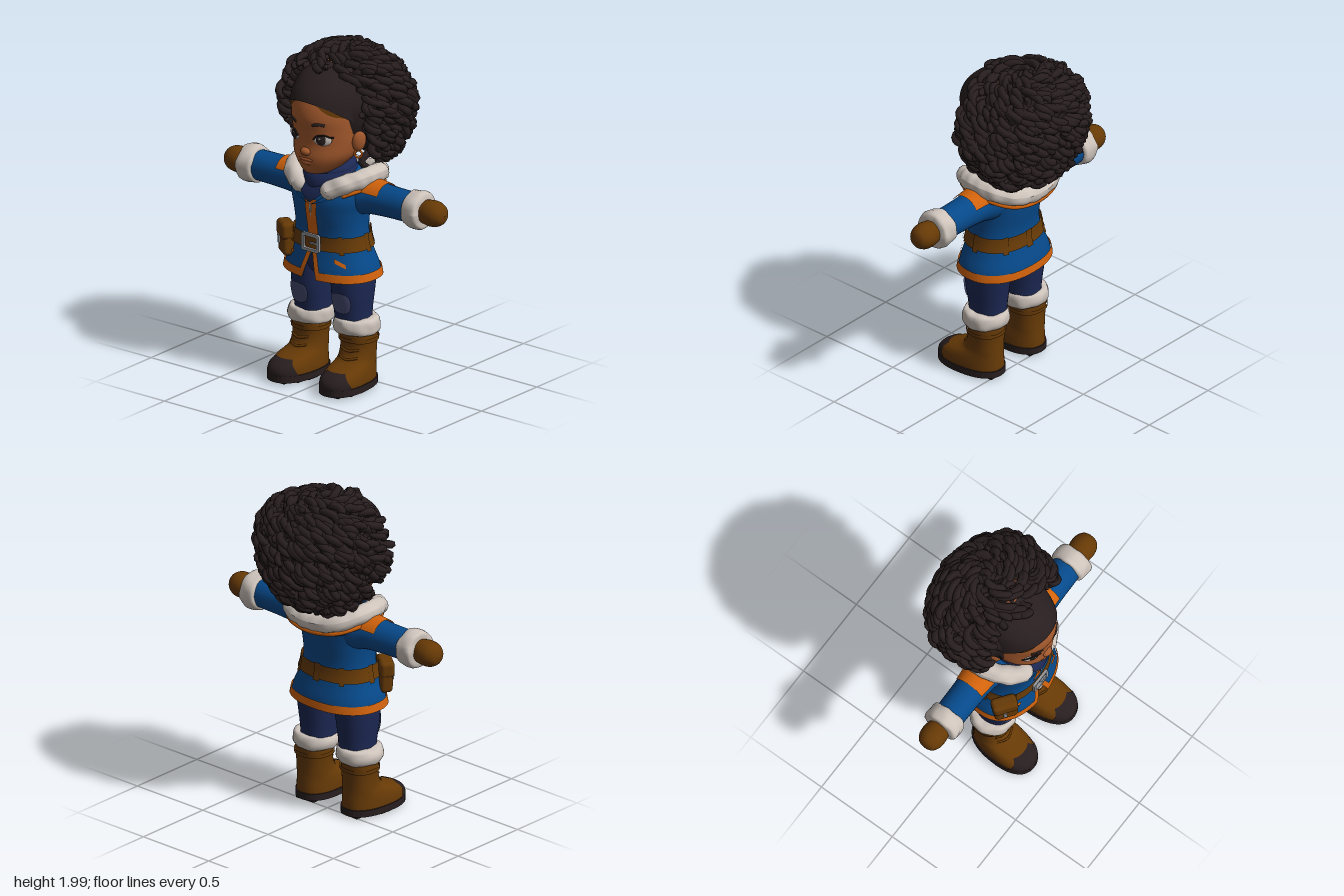
import * as THREE from 'three';
import { mergeGeometries, mergeVertices } from 'three/addons/utils/BufferGeometryUtils.js';
import { RoundedBoxGeometry } from 'three/addons/geometries/RoundedBoxGeometry.js';

const mat = (name, color, side = THREE.FrontSide) => {
  const m = new THREE.MeshStandardMaterial({ color, side });
  m.name = name;
  return m;
};
const D = THREE.DoubleSide, PI = Math.PI;
const skin = mat('skin', 0xa55a2d), hair = mat('darkHair', 0x281e1f, D), blue = mat('coatBlue', 0x06498a, D),
  orange = mat('trimOrange', 0xd0620c, D), navy = mat('navyCloth', 0x1c2853, D), fur = mat('fur', 0xcdc3bb),
  brown = mat('leather', 0x673a06, D), metal = mat('metal', 0x96989c), patchGrey = mat('kneePatch', 0x454a70, D),
  lip = mat('lip', 0x9c532d);
const V = (x, y, z) => new THREE.Vector3(x, y, z);

// Stacked cross-sections: rows of [y, half width, front z, back z], n = squareness
const body = (n, ...rows) => ({ n, rows });
function surf({ n, rows: S }, u, y, off = 0) {
  let i = 0;
  while (i < S.length - 2 && y > S[i + 1][0]) i++;
  const h = S[i + 1][0] - S[i][0], t = THREE.MathUtils.clamp((y - S[i][0]) / h, 0, 1);
  const slope = (j, k) => {
    const a = S[Math.max(j - 1, 0)], b = S[Math.min(j + 1, S.length - 1)];
    return (b[k] - a[k]) / (b[0] - a[0]) * h;
  };
  const [rx, zf, zb] = [1, 2, 3].map(k => {
    const p = S[i][k], q = S[i + 1][k], m = slope(i, k), w = slope(i + 1, k);
    return p + t * (m + t * (3 * (q - p) - 2 * m - w + t * (2 * (p - q) + m + w)));
  });
  const e = v => Math.sign(v) * Math.abs(v) ** (2 / n);
  return V((rx + off) * e(Math.sin(u)), y, (zf + zb) / 2 + ((zf - zb) / 2 + off) * e(Math.cos(u)));
}
// Surface patch; f(a, b) gives [angle, height], angle 0 faces the front
function patch(S, f, off = 0, nu = 12, nv = 8) {
  const pos = [], idx = [];
  for (let j = 0; j <= nv; j++) for (let i = 0; i <= nu; i++) {
    const [u, y] = f(i / nu, j / nv);
    pos.push(...surf(S, u, y, off).toArray());
    if (i < nu && j < nv) {
      const a = j * (nu + 1) + i, d = a + nu + 1;
      idx.push(a, a + 1, d, a + 1, d + 1, d);
    }
  }
  let g = new THREE.BufferGeometry();
  g.setAttribute('position', new THREE.Float32BufferAttribute(pos, 3));
  g.setIndex(idx);
  g = mergeVertices(g, 1e-5);
  g.computeVertexNormals();
  return g;
}
const wrap = (y0, y1) => (a, b) => [a * 2 * PI, y0 + b * (y1 - y0)];
const rect = (u0, u1, y0, y1) => (a, b) => [u0 + a * (u1 - u0), y0 + b * (y1 - y0)];
const tube = (pts, r, n = 24, k = 8) => new THREE.TubeGeometry(new THREE.CatmullRomCurve3(pts), n, r, k);
const lathe = (pts, n = 28) => new THREE.LatheGeometry(new THREE.SplineCurve(pts.map(p => new THREE.Vector2(...p))).getPoints(20), n);
const ball = new THREE.SphereGeometry(1, 20, 14);

// Soft lumps for fur
function lumpy(g, amt = 0.004) {
  const p = g.attributes.position, n = g.attributes.normal;
  for (let i = 0; i < p.count; i++) {
    const x = p.getX(i), y = p.getY(i), z = p.getZ(i);
    const d = amt * (Math.sin(75 * x + 20 * y) + Math.sin(80 * z - 30 * y) + Math.sin(70 * y + 40 * x)) / 2;
    p.setXYZ(i, x + n.getX(i) * d, y + n.getY(i) * d, z + n.getZ(i) * d);
  }
  g.computeVertexNormals();
  return g;
}

const HEAD = body(2, [1.283, 0.03, 0.27, 0.15], [1.295, 0.075, 0.315, 0.1], [1.34, 0.13, 0.34, 0.02], [1.4, 0.178, 0.352, -0.05],
  [1.48, 0.202, 0.346, -0.1], [1.56, 0.21, 0.355, -0.14], [1.64, 0.21, 0.372, -0.16], [1.73, 0.205, 0.355, -0.15],
  [1.8, 0.19, 0.315, -0.13], [1.87, 0.14, 0.23, -0.08], [1.92, 0.02, 0.1, 0]);
const COAT = body(2.25, [0.66, 0.297, 0.312, -0.117], [0.72, 0.283, 0.303, -0.108], [0.8, 0.25, 0.285, -0.085], [0.88, 0.226, 0.272, -0.066],
  [0.95, 0.22, 0.275, -0.065], [1.05, 0.227, 0.292, -0.08], [1.14, 0.245, 0.295, -0.09], [1.22, 0.235, 0.26, -0.09],
  [1.27, 0.18, 0.21, -0.06], [1.31, 0.1, 0.15, 0]);
const LEG = body(2.2, [0.38, 0.1, 0.2, -0.015], [0.45, 0.102, 0.21, -0.02], [0.55, 0.112, 0.228, -0.033], [0.64, 0.118, 0.232, -0.045], [0.75, 0.12, 0.23, -0.055]);
const HIPS = body(2.2, [0.61, 0.02, 0.12, 0.06], [0.635, 0.13, 0.18, -0.01], [0.68, 0.22, 0.22, -0.05], [0.85, 0.21, 0.24, -0.05]);
const BOOT = body(2.3, [0.03, 0.118, 0.388, -0.022], [0.07, 0.119, 0.392, -0.022], [0.105, 0.116, 0.37, -0.02], [0.135, 0.11, 0.315, -0.018],
  [0.165, 0.102, 0.225, -0.016], [0.23, 0.1, 0.185, -0.016], [0.3, 0.104, 0.182, -0.02], [0.35, 0.1, 0.18, -0.02]);
const SCARF = body(2, [1.14, 0.06, 0.27, 0.1], [1.2, 0.125, 0.29, 0], [1.26, 0.15, 0.285, -0.03], [1.31, 0.145, 0.25, -0.03], [1.35, 0.11, 0.2, -0.01]);
const HOOD = body(2, [1.1, 0.19, 0.25, -0.08], [1.16, 0.235, 0.25, -0.14], [1.21, 0.26, 0.25, -0.17], [1.25, 0.25, 0.24, -0.15]);

// Point on the rounded hair volume: theta from the crown, phi around
function hairPoint(th, ph, k) {
  const c = Math.cos(th), s = Math.max(Math.sin(th), 0) ** (c < 0 ? 0.75 : 1), cz = Math.cos(ph);
  return V(0.372 * k * s * Math.sin(ph), 1.66 + c * k * (c < 0 ? 0.355 : 0.29), -0.07 + (cz > 0 ? 0.41 : 0.28) * k * s * cz);
}
// Keeps locks off the face, ears and jaw
const onFace = ({ x, y, z }) => {
  const w = Math.abs(x);
  return z > 0.14 && w < 0.24 && y < 1.88 - 1.2 * x * x || z > 0.1 && y < 1.57 && w < 0.28 || z > 0.03 && y < 1.45 && w < 0.25;
};
function curl(th, ph, rnd) {
  let pts = [];
  const turns = 1.5 + rnd() * 0.8, p0 = rnd() * 6.28, len = 0.6 + rnd() * 0.3, sway = (rnd() - 0.5) * 0.7, lift = (rnd() - 0.5) * 0.07;
  for (let i = 0; i <= 14; i++) {
    const t = i / 14, w = p0 + t * turns * 2 * PI, T = Math.min(th + (t - 0.4) * len, 2.8), s = Math.max(Math.sin(Math.abs(T)), 0.2);
    pts.push(hairPoint(Math.abs(T), ph + (T < 0 ? PI : 0) + (0.1 * Math.sin(w) + sway * (t - 0.4)) / s, 0.95 + lift + 0.05 * t + 0.09 * Math.cos(w)));
  }
  const stop = pts.findIndex(onFace);
  if (stop >= 0) pts = pts.slice(0, stop);
  if (pts.length < 5) return null;
  const n = 24, k = 6, curve = new THREE.CatmullRomCurve3(pts), g = new THREE.TubeGeometry(curve, n, 0.024, k), p = g.attributes.position, v = V(0, 0, 0);
  for (let i = 0; i <= n; i++) { // taper both ends
    const c = curve.getPointAt(i / n), r = Math.sqrt(Math.max(0, 1 - Math.abs(2 * i / n - 1) ** 6));
    for (let j = 0; j <= k; j++) {
      const q = i * (k + 1) + j;
      v.fromBufferAttribute(p, q).sub(c).multiplyScalar(r).add(c);
      p.setXYZ(q, v.x, v.y, v.z);
    }
  }
  return g;
}

export function createModel() {
  const root = new THREE.Group();
  root.name = 'child';
  const add = (name, g, m, pos = [0, 0, 0], rot = [0, 0, 0], scale = [1, 1, 1], parent = root) => {
    const o = new THREE.Mesh(g, m);
    o.name = name;
    o.position.set(...pos); o.rotation.set(...rot); o.scale.set(...scale);
    parent.add(o);
  };

  // Head and face
  add('head', patch(HEAD, wrap(1.283, 1.92), 0, 40, 44), skin);
  add('nose', ball, skin, [0, 1.438, 0.345], [0, 0, 0], [0.034, 0.024, 0.028]);
  add('upperLip', ball, lip, [0, 1.39, 0.341], [0, 0, 0], [0.05, 0.012, 0.017]);
  add('lowerLip', ball, lip, [0, 1.37, 0.338], [0, 0, 0], [0.042, 0.014, 0.017]);
  const low = u => 1.74 - 0.12 * (u / 1.25) ** 2;
  add('headband', patch(HEAD, (a, b) => { const u = (a - 0.5) * 3.2; return [u, THREE.MathUtils.lerp(low(u), 1.915, b)]; }, 0.013, 36, 14), hair);
  for (const s of [-1, 1]) {
    const on = (u, y, off) => surf(HEAD, s * u, y, off);
    add('hairline', patch(HEAD, (a, b) => { const u = s * (0.35 + 0.75 * (s > 0 ? a : 1 - a)); return [u, low(u) - 0.028 * (1 - b) * Math.sin(PI * (Math.abs(u) - 0.35) / 0.75)]; }, 0.005), brown);
    add('eyeWhite', ball, fur, on(0.51, 1.518, -0.004).toArray(), [0, s * 0.42, 0], [0.054, 0.034, 0.014]);
    add('iris', ball, hair, on(0.47, 1.52, 0.004).toArray(), [0, s * 0.4, 0], [0.03, 0.032, 0.009]);
    add('eyeGlint', ball, fur, on(0.44, 1.53, 0.012).toArray(), [0, s * 0.4, 0], [0.006, 0.006, 0.003]);
    add('eyelash', tube([on(0.26, 1.52, 0.004), on(0.37, 1.546, 0.008), on(0.55, 1.552, 0.01), on(0.72, 1.538, 0.011), on(0.8, 1.538, 0.012)], 0.005, 16, 6), hair);
    add('eyebrow', tube([on(0.27, 1.608, 0), on(0.4, 1.618, 0.001), on(0.6, 1.611, 0)], 0.009, 12, 6), hair);
    add('ear', ball, skin, [s * 0.218, 1.49, 0.135], [0, s * -0.4, s * -0.12], [0.026, 0.065, 0.043]);
    add('earring', new THREE.TorusGeometry(0.021, 0.006, 8, 20), orange, [s * 0.205, 1.405, 0.125], [0, s * 0.6, 0]);
  }

  // Curly hair
  const core = new THREE.SphereGeometry(1, 32, 24), cp = core.attributes.position;
  for (let i = 0; i < cp.count; i++) {
    const q = hairPoint(Math.acos(THREE.MathUtils.clamp(cp.getY(i), -1, 1)), Math.atan2(cp.getX(i), cp.getZ(i)), 0.85);
    cp.setXYZ(i, q.x, q.y, q.z);
  }
  core.computeVertexNormals();
  add('hairCore', core, hair);
  let seed = 7;
  const rnd = () => (seed = (seed * 16807) % 2147483647) / 2147483647;
  const curls = [];
  for (let i = 0; i < 310; i++) {
    const g = curl(Math.acos(1 - 1.9 * (i + 0.5) / 310), i * 2.39996, rnd);
    if (g) curls.push(g);
  }
  add('curls', mergeGeometries(curls), hair);

  // Coat with a split front hem
  const gap = y => 0.13 * Math.max(0, (0.83 - y) / 0.17);
  add('coat', patch(COAT, (a, b) => { const y = 0.66 + 0.65 * b, g = gap(y); return [g + a * (2 * PI - 2 * g), y]; }, 0, 56, 40), blue);
  add('hemTrim', patch(COAT, (a, b) => { const y = 0.66 + 0.048 * b, g = gap(y); return [g + a * (2 * PI - 2 * g), y]; }, 0.008, 56, 3), orange);
  add('frontPlacket', patch(COAT, rect(-0.13, 0.13, 0.91, 1.14), 0.008), orange);
  add('zip', patch(COAT, rect(-0.006, 0.006, 1.03, 1.13), 0.011, 2), metal);
  add('zipPull', new THREE.BoxGeometry(0.014, 0.045, 0.008), metal, [0, 1.085, 0.305]);
  add('belt', patch(COAT, wrap(0.832, 0.917), 0.014, 56, 4), brown);
  for (const u of [0.75, 1.6, 2.5, PI, 3.78, 4.68, 5.53]) add('beltLoop', patch(COAT, rect(u - 0.07, u + 0.07, 0.822, 0.927), 0.021, 4, 3), brown);
  const frame = (w, h, r, S) => S.moveTo(-w + r, -h).lineTo(w - r, -h).quadraticCurveTo(w, -h, w, -h + r).lineTo(w, h - r).quadraticCurveTo(w, h, w - r, h)
    .lineTo(-w + r, h).quadraticCurveTo(-w, h, -w, h - r).lineTo(-w, -h + r).quadraticCurveTo(-w, -h, -w + r, -h);
  const buckle = frame(0.064, 0.054, 0.015, new THREE.Shape());
  buckle.holes.push(frame(0.046, 0.036, 0.008, new THREE.Path()));
  add('buckle', new THREE.ExtrudeGeometry(buckle, { depth: 0.016, bevelEnabled: false }), metal, [0, 0.873, 0.293]);
  add('bucklePin', new THREE.BoxGeometry(0.055, 0.01, 0.01), metal, [0.022, 0.873, 0.305]);
  for (const s of [-1, 1]) {
    add('splitTrim', patch(COAT, (a, b) => { const y = 0.66 + 0.175 * b; return [s * gap(y) + (s > 0 ? a : a - 1) * 0.1, y]; }, 0.009, 4, 8), orange);
    add('pocketTrim', patch(COAT, (a, b) => [s * 0.68 + (a - 0.5) * 0.28, 0.77 - s * (a - 0.5) * 0.03 + (b - 0.5) * 0.024], 0.008, 6, 2), orange);
    add('lapel', patch(COAT, (a, b) => { const k = s > 0 ? a : 1 - a; return [s * (0.02 + 0.5 * b + k * 0.3), 1.11 + 0.1 * b + 0.03 * k]; }, 0.016, 8, 6), blue);
  }

  // Pouch on the right hip
  const pouch = new THREE.Group();
  pouch.name = 'pouch';
  pouch.position.set(-0.235, 0.83, 0.225); pouch.rotation.set(0, -0.65, 0.06);
  root.add(pouch);
  add('pouchBody', new RoundedBoxGeometry(0.14, 0.18, 0.075, 3, 0.025), brown, [0, -0.005, 0], [0, 0, 0], [1, 1, 1], pouch);
  add('pouchFlap', new RoundedBoxGeometry(0.15, 0.1, 0.085, 3, 0.025), brown, [0, 0.05, 0.003], [0, 0, 0], [1, 1, 1], pouch);
  add('pouchClasp', new RoundedBoxGeometry(0.022, 0.055, 0.012, 2, 0.004), metal, [-0.01, -0.005, 0.045], [0, 0, 0], [1, 1, 1], pouch);

  // Scarf, hood and fur collar
  add('scarf', patch(SCARF, wrap(1.14, 1.35), 0, 36, 16), navy);
  add('scarfPoint', patch(COAT, (a, b) => [(a - 0.5) * 2 * (0.02 + 0.5 * b), 1.125 + 0.125 * b], 0.022, 10, 8), navy);
  for (const [y, r, t] of [[1.265, 0.135, 0.08], [1.31, 0.125, -0.05]]) add('scarfFold', new THREE.TorusGeometry(r, 0.024, 10, 36), navy, [0, y, 0.12], [PI / 2 + 0.12, t, 0]);
  add('hood', patch(HOOD, rect(0.9, 2 * PI - 0.9, 1.1, 1.25), 0, 36, 8), blue);
  const half = [[0.105, 1.2, 0.262], [0.17, 1.235, 0.235], [0.232, 1.262, 0.14], [0.24, 1.263, 0], [0.16, 1.23, -0.11]];
  const collar = (pts, k, dy) => [...pts.map(([x, y, z]) => V(x * k, y + dy, 0.08 + (z - 0.08) * k)), V(0, 1.213 + dy, 0.08 - 0.225 * k),
    ...pts.slice().reverse().map(([x, y, z]) => V(-x * k, y + dy, 0.08 + (z - 0.08) * k))];
  add('furCollar', lumpy(tube(collar(half, 1, 0), 0.056, 90, 14)), fur);
  for (const s of [-1, 1]) add('collarEnd', ball, fur, [s * 0.105, 1.2, 0.262], [0, 0, 0], [0.054, 0.054, 0.054]);
  add('hoodTrim', tube(collar(half.slice(1), 1.1, -0.055), 0.015, 70, 8), orange);

  for (const s of [-1, 1]) {
    // Arm
    const arm = new THREE.Group();
    arm.name = s > 0 ? 'leftArm' : 'rightArm';
    arm.position.set(0, 1.147, 0.072); arm.rotation.z = -s * PI / 2;
    root.add(arm);
    const part = (name, g, m) => add(name, g, m, [0, 0, 0], [0, 0, 0], [1, 1, 1], arm);
    part('sleeve', lathe([[0.125, 0.12], [0.118, 0.2], [0.1, 0.28], [0.092, 0.4], [0.09, 0.5], [0.088, 0.58]]), blue);
    part('furCuff', lumpy(lathe([[0.06, 0.545], [0.1, 0.55], [0.111, 0.575], [0.112, 0.625], [0.1, 0.65], [0.06, 0.655]])), fur);
    part('mitten', lathe([[0.062, 0.62], [0.07, 0.66], [0.076, 0.7], [0.07, 0.745], [0.045, 0.78], [0.002, 0.792]]), brown);
    part('shoulderPatch', new THREE.CylinderGeometry(0.101, 0.112, 0.11, 20, 1, true, -s * PI / 2 - 1.1, 2.2).translate(0, 0.315, 0), orange);

    // Leg
    const leg = new THREE.Group();
    leg.name = s > 0 ? 'leftLeg' : 'rightLeg';
    leg.position.x = s * 0.145;
    root.add(leg);
    add('trouserLeg', patch(LEG, wrap(0.38, 0.75), 0, 32, 16), navy, [0, 0, 0], [0, 0, 0], [1, 1, 1], leg);
    add('kneePatch', patch(LEG, (a, b) => {
      const x = 2 * a - 1, y = 2 * b - 1;
      return [s * 0.08 + 0.55 * x * Math.sqrt(1 - 0.4 * y * y), 0.518 + 0.065 * y * Math.sqrt(1 - 0.4 * x * x)];
    }, 0.009, 12, 10), patchGrey, [0, 0, 0], [0, 0, 0], [1, 1, 1], leg);
    add('furLegCuff', lumpy(lathe([[0.07, -0.046], [0.118, -0.044], [0.134, -0.018], [0.134, 0.018], [0.118, 0.044], [0.07, 0.046]], 36)), fur,
      [s * 0.02, 0.368, 0.09], [0, 0, 0], [1, 1, 1], leg);

    // Boot
    const boot = new THREE.Group();
    boot.name = s > 0 ? 'leftBoot' : 'rightBoot';
    boot.position.x = s * 0.168; boot.rotation.y = s * 0.07;
    root.add(boot);
    const bp = (name, g, m, pos, rot, sc) => add(name, g, m, pos, rot, sc, boot);
    bp('bootUpper', patch(BOOT, wrap(0.03, 0.35), 0, 36, 24), brown);
    bp('toeCap', patch(BOOT, (a, b) => [(a - 0.5) * 2 * (1.05 - 0.55 * b * b), 0.03 + 0.105 * b], 0.006, 16, 10), hair);
    bp('bootBand', patch(BOOT, wrap(0.275, 0.3), 0.008, 32, 2), brown);
    for (const y of [0.18, 0.225]) bp('lace', tube([-0.6, -0.3, 0, 0.3, 0.6].map(u => surf(BOOT, u, y + 0.02 * Math.abs(u), 0.001)), 0.007, 12, 6), brown);
    const sole = new THREE.Shape(Array.from({ length: 36 }, (_, i) => { const p = surf(BOOT, i * PI / 18, 0.05, 0.007); return new THREE.Vector2(p.x, -p.z); }));
    bp('sole', new THREE.ExtrudeGeometry(sole, { depth: 0.04, bevelEnabled: false }), hair, [0, 0.012, 0], [-PI / 2, 0, 0]);
    for (const [z, w, d] of [[0.045, 0.13, 0.1], [0.18, 0.215, 0.07], [0.265, 0.19, 0.06], [0.34, 0.11, 0.05]])
      bp('tread', new THREE.BoxGeometry(w, 0.016, d), hair, [0, 0.008, z]);
  }
  add('hips', patch(HIPS, wrap(0.61, 0.85), 0, 32, 14), navy);
  return root;
}
